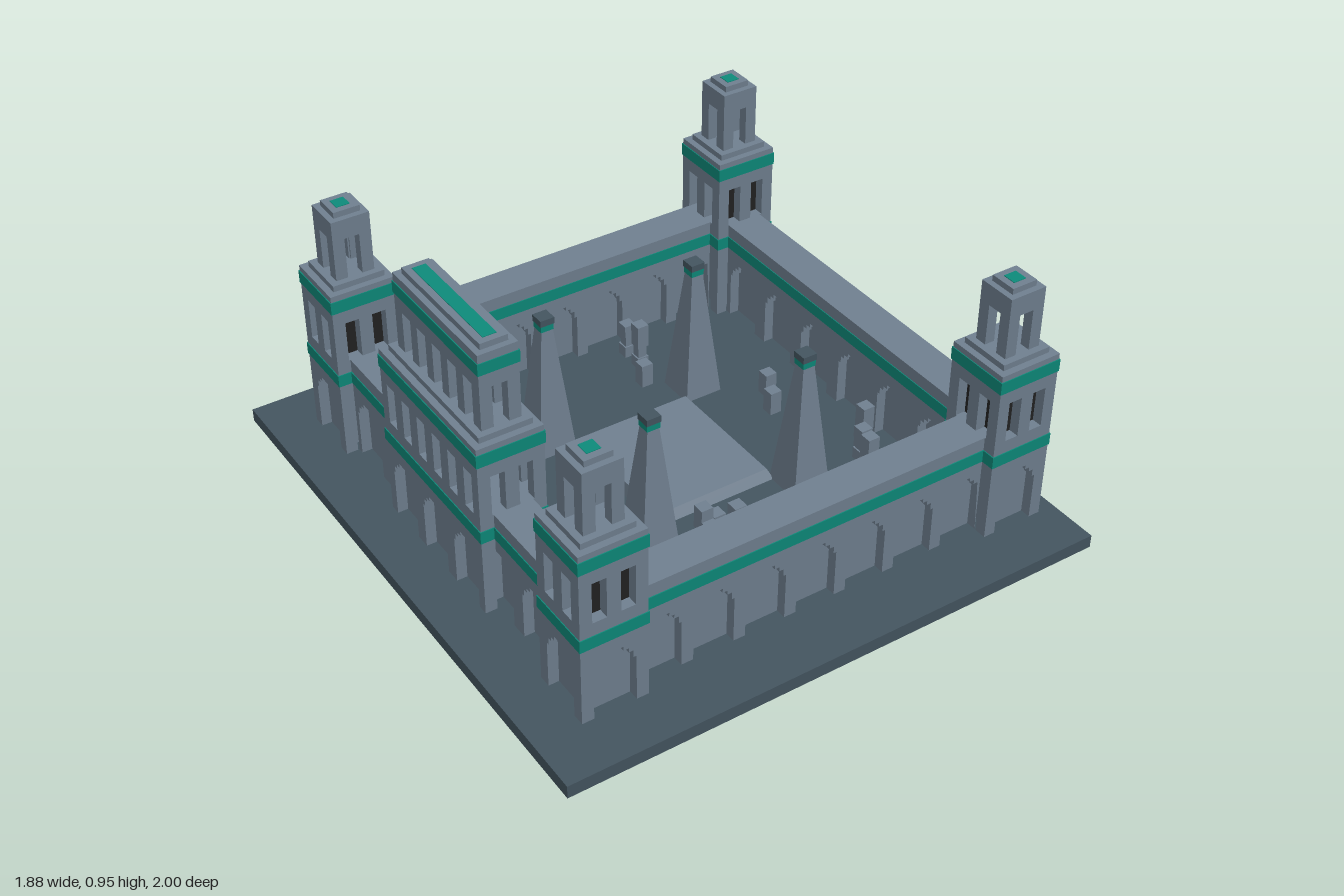
import * as THREE from 'three';

const mat = (color) => new THREE.MeshStandardMaterial({ color, flatShading: true });

export function createModel() {
  const model = new THREE.Group();
  const stone = mat(0x708090), dark = mat(0x445560), teal = mat(0x0d8a7a), black = mat(0x222222);
  const T = 0.035; // depth of the pierced facades

  const group = (name, x = 0, z = 0, parent = model) => {
    const g = new THREE.Group();
    g.name = name;
    g.position.set(x, 0, z);
    parent.add(g);
    return g;
  };
  const add = (parent, name, geo, material) => {
    const m = new THREE.Mesh(geo, material);
    m.name = name;
    parent.add(m);
    return m;
  };
  // Box standing between heights y0 and y1
  const block = (parent, name, w, d, y0, y1, material = stone, x = 0, z = 0) => {
    const m = add(parent, name, new THREE.BoxGeometry(w, y1 - y0, d), material);
    m.position.set(x, (y0 + y1) / 2, z);
    return m;
  };
  // Square frustum
  const frustum = (parent, name, w0, d0, k, y0, y1, material) => {
    const geo = new THREE.CylinderGeometry(k * Math.SQRT1_2, Math.SQRT1_2, y1 - y0, 4, 1);
    geo.rotateY(Math.PI / 4).scale(w0, 1, d0);
    add(parent, name, geo, material).position.y = (y0 + y1) / 2;
  };

  // Opening outlines as [half width, height] steps
  const arch = (a) => [[a, 0.21], [a * 0.86, 0.21], [a * 0.86, 0.235], [a * 0.64, 0.235],
    [a * 0.64, 0.25], [a * 0.4, 0.25], [a * 0.4, 0.265]];
  const slot = (a, top) => [[a, top]];
  const row = (n, pitch) => Array.from({ length: n }, (_, i) => (i - (n - 1) / 2) * pitch);

  // Slab facing +z with a row of openings rising from its foot
  const facade = (parent, name, w, y0, y1, centres, profile) => {
    const s = new THREE.Shape();
    s.moveTo(-w / 2, y0);
    for (const c of centres) {
      s.lineTo(c - profile[0][0], y0);
      profile.forEach(([a, y]) => s.lineTo(c - a, y));
      [...profile].reverse().forEach(([a, y]) => s.lineTo(c + a, y));
      s.lineTo(c + profile[0][0], y0);
    }
    s.lineTo(w / 2, y0);
    s.lineTo(w / 2, y1);
    s.lineTo(-w / 2, y1);
    const geo = new THREE.ExtrudeGeometry(s, { depth: T, bevelEnabled: false });
    return add(parent, name, geo.translate(0, 0, -T), stone);
  };
  // Four facades around a rectangle, with an optional solid core
  const storey = (parent, name, w, d, y0, y1, onWidth, onDepth, profile, core) => {
    const g = group(name, 0, 0, parent);
    for (let i = 0; i < 4; i++) {
      const along = i % 2 === 0;
      const f = facade(g, name + 'Face', along ? w : d, y0, y1, along ? onWidth : onDepth, profile);
      f.rotation.y = (i * Math.PI) / 2;
      const r = (along ? d : w) / 2;
      f.position.set(along ? 0 : i === 1 ? r : -r, 0, along ? (i === 0 ? r : -r) : 0);
    }
    if (core) block(g, name + 'Core', w - 2 * T, d - 2 * T, y0, y1, core);
  };

  // Shared stack of a corner tower and the long hall
  const pavilion = (name, x, z, o) => {
    const g = group(name, x, z);
    const { w, d } = o;
    storey(g, 'arcadeStorey', w, d, 0.045, 0.315, [0], o.arches, arch(0.07), stone);
    block(g, 'parapet', w, d, 0.315, 0.4);
    block(g, 'lowerBand', w + 0.006, d + 0.006, 0.313, 0.355, teal);
    storey(g, 'windowStorey', w, d, 0.4, 0.59, row(2, 0.092), o.windows, slot(0.0235, 0.54), o.core);
    block(g, 'cornice', w, d, 0.585, 0.65);
    block(g, 'upperBand', w + 0.006, d + 0.006, 0.587, 0.63, teal);
    block(g, 'step', w - 0.045, d - 0.045, 0.65, 0.67);
    const uw = w - 0.09, ud = d - 0.09, top = o.top;
    storey(g, 'lantern', uw, ud, 0.67, 0.84, [0], o.lantern, slot(0.025, 0.81));
    block(g, 'lanternRoof', uw, ud, 0.84, top - 0.02);
    block(g, 'cap', uw - 0.04, ud - 0.04, top - 0.02, top);
    block(g, 'capInlay', uw - 0.085, ud - 0.085, top - 0.01, top + 0.002, teal);
    return g;
  };

  block(model, 'base', 1.88, 2, 0, 0.045, dark);

  // Corner towers
  const xs = [-0.675, 0.77], zs = [-0.725, 0.715];
  for (const x of xs) for (const z of zs) {
    pavilion('cornerTower', x, z, {
      w: 0.22, d: 0.22, arches: [0], windows: row(2, 0.092), lantern: [0], core: black, top: 0.898,
    });
  }

  // Long hall on the right side
  const hall = pavilion('hall', -0.675, -0.005, {
    w: 0.22, d: 0.585, arches: row(3, 0.19), windows: row(6, 0.093), lantern: row(5, 0.09), core: null, top: 0.948,
  });
  block(hall, 'roofBand', 0.136, 0.501, 0.86, 0.9, teal);

  // Curtain walls with blind arches on both sides
  const wall = (name, x, z, length, centres, a, turn) => {
    const g = group(name, x, z);
    g.rotation.y = turn;
    const t = 0.13;
    block(g, 'wallCore', length, t - 2 * T, 0.045, 0.315);
    for (const side of [0, 1]) {
      const f = facade(g, 'arcade', length, 0.045, 0.315, centres, arch(a));
      f.rotation.y = side * Math.PI;
      f.position.z = side ? -t / 2 : t / 2;
    }
    block(g, 'wallTop', length, t, 0.315, 0.4);
    block(g, 'wallBand', length, t + 0.006, 0.313, 0.355, teal);
  };
  wall('frontWall', 0.0475, 0.715, 1.225, row(7, 0.181), 0.07, 0);
  wall('backWall', 0.0475, -0.73, 1.225, row(7, 0.181), 0.07, 0);
  wall('rightWall', -0.675, -0.005, 1.22, row(6, 0.2057), 0.075, Math.PI / 2);
  wall('leftWall', 0.767, -0.005, 1.22, row(6, 0.2057), 0.075, Math.PI / 2);

  // Central platform
  const platform = group('platform', 0.068, -0.007);
  frustum(platform, 'platformBody', 0.44, 0.495, 0.93, 0.045, 0.08, stone);

  // Tapered obelisks around it
  for (const x of [-0.215, 0.35]) for (const z of [-0.31, 0.293]) {
    const g = group('obelisk', x, z);
    frustum(g, 'shaft', 0.135, 0.135, 0.31, 0.045, 0.5, stone);
    block(g, 'obeliskBand', 0.046, 0.046, 0.5, 0.522, teal);
    block(g, 'obeliskCap', 0.05, 0.05, 0.522, 0.545, dark);
  }

  // Courtyard posts made of stacked cubes: [x, z, cubes]
  const posts = [
    [-0.5, -0.51, 3], [-0.41, -0.55, 6], [-0.365, -0.51, 5], [-0.23, -0.55, 6], [-0.45, -0.415, 6],
    [-0.365, -0.37, 5], [-0.41, -0.28, 2], [0.27, -0.59, 3], [0.27, -0.51, 4], [0.225, -0.415, 2],
    [0.54, -0.145, 2], [0.495, -0.055, 2], [0.625, 0.265, 4], [0.585, 0.31, 3], [0.54, 0.4, 4],
    [-0.5, 0.4, 2], [-0.09, 0.44, 3], [-0.09, 0.398, 4], [-0.045, 0.44, 2], [-0.045, 0.4, 3], [0, 0.445, 4],
  ];
  for (const [x, z, n] of posts) {
    const g = group('rubblePost', x, z);
    for (let i = 0; i < n; i++) {
      const w = i % 2 && i < n - 1 ? 0.032 : 0.042;
      block(g, 'cube', w, w, 0.045 + i * 0.042, 0.087 + i * 0.042, stone);
    }
  }
  return model;
}
